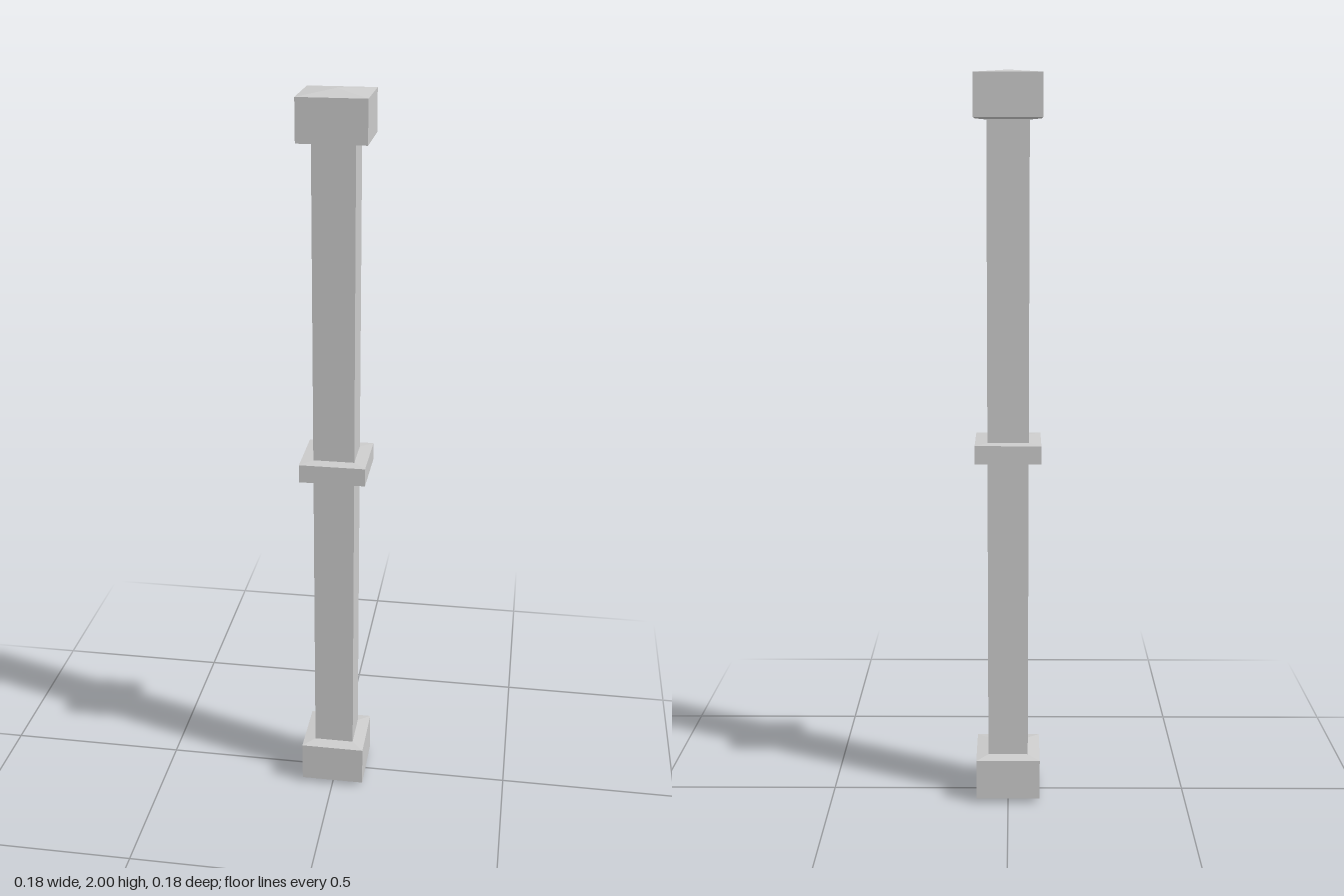
import * as THREE from 'three';

const material = new THREE.MeshStandardMaterial({ color: 0xcccccc, flatShading: true });

// Square solid from [half width, height] pairs, listed bottom to top
function squareSolid(name, profile) {
  const points = profile.map(([half, y]) => new THREE.Vector2(half * Math.SQRT2, y));
  const mesh = new THREE.Mesh(new THREE.LatheGeometry(points, 4, Math.PI / 4), material);
  mesh.name = name;
  return mesh;
}

export function createModel() {
  const group = new THREE.Group();
  group.name = 'post';
  const wide = 0.089, slim = 0.0555;

  group.add(
    // Foot block with a shallow pyramid underneath and a slightly sloped top
    squareSolid('base', [[0, 0], [wide, 0.012], [wide, 0.126], [slim, 0.131]]),
    squareSolid('lowerShaft', [[slim, 0.131], [slim, 0.976]]),
    // Thin band at mid height
    squareSolid('collar', [[slim, 0.976], [wide, 0.98], [wide, 1.03], [slim, 1.032]]),
    squareSolid('upperShaft', [[slim, 1.032], [slim, 1.876]]),
    // Head block with a shallow pyramid on top
    squareSolid('cap', [[slim, 1.876], [wide, 1.88], [wide, 1.99], [0, 2]])
  );
  return group;
}
